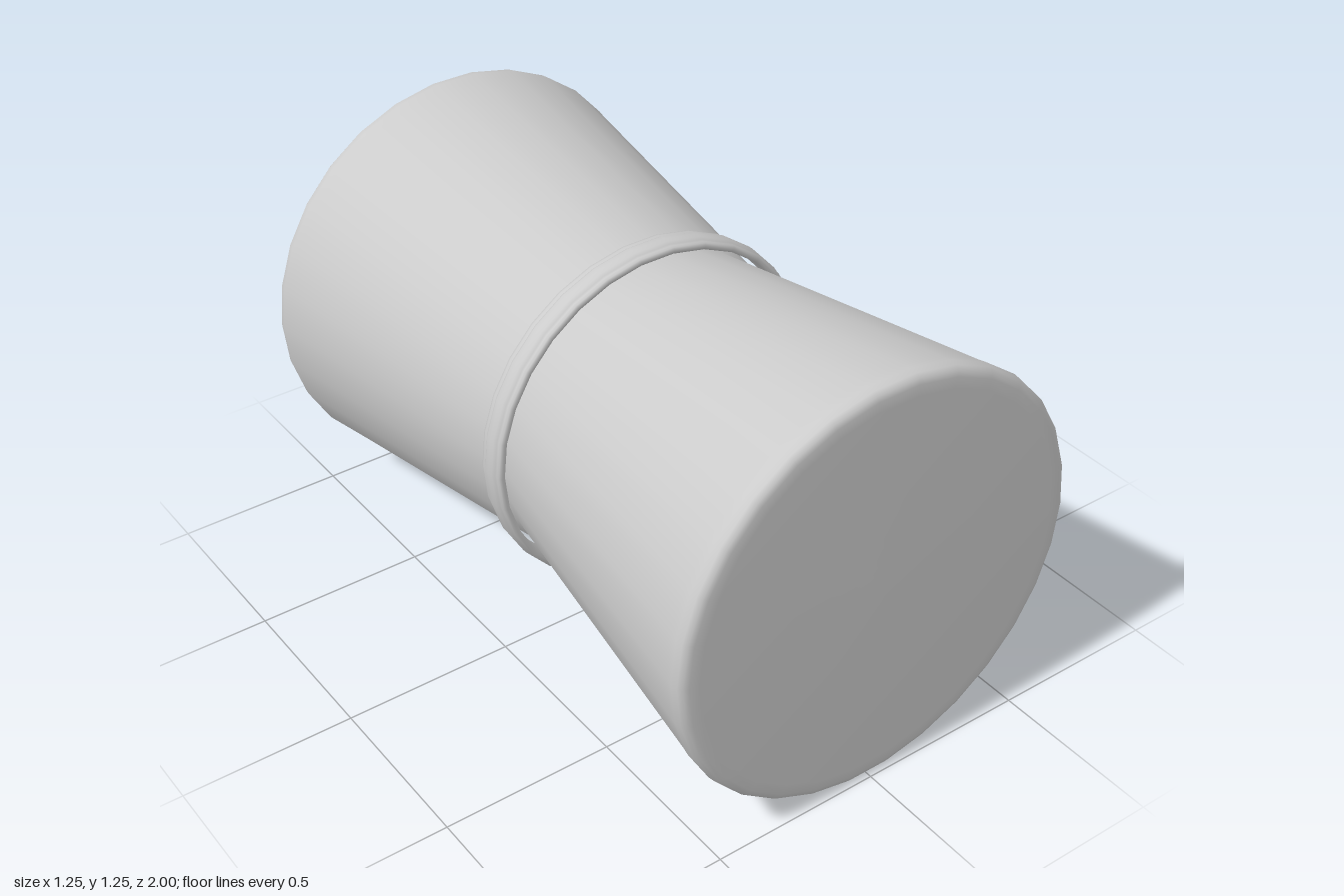
import * as THREE from 'three';

const SIDES = 30;
const CENTRE_Y = 0.627;

// Turn a [radius, z] profile about the z axis, with a flat side on top
function turned(name, profile) {
  const points = profile.map(([r, z]) => new THREE.Vector2(r, z));
  const geometry = new THREE.LatheGeometry(points, SIDES, Math.PI / SIDES, Math.PI * 2);
  geometry.rotateX(Math.PI / 2);
  const material = new THREE.MeshStandardMaterial({ color: 0xcccccc, side: THREE.DoubleSide });
  const mesh = new THREE.Mesh(geometry, material);
  mesh.name = name;
  mesh.position.y = CENTRE_Y;
  return mesh;
}

// Mirror a half profile (running from z = 0 outward) to the other side
function mirrored(half) {
  const back = half.filter(([, z]) => z > 0).map(([r, z]) => [r, -z]).reverse();
  return [...back, ...half];
}

export function createModel() {
  const model = new THREE.Group();
  model.name = 'hourglassDrum';

  // Waisted body with softly rounded rims and slightly domed ends
  const body = mirrored([
    [0.482, 0], [0.484, 0.015], [0.488, 0.04],
    [0.622, 0.93], [0.627, 0.955], [0.624, 0.975], [0.615, 0.987],
    [0.60, 0.992], [0.57, 0.994], [0.3, 0.998], [0, 1],
  ]);
  model.add(turned('body', body));

  // Loose ring around the waist: a raised middle band between two grooves
  const outer = mirrored([
    [0.526, 0], [0.525, 0.015], [0.520, 0.024], [0.515, 0.028],
    [0.520, 0.033], [0.518, 0.041], [0.510, 0.046],
  ]);
  const ring = [...outer, [0.500, 0.042], [0.498, 0], [0.500, -0.042], outer[0]];
  model.add(turned('waistRing', ring));

  return model;
}
